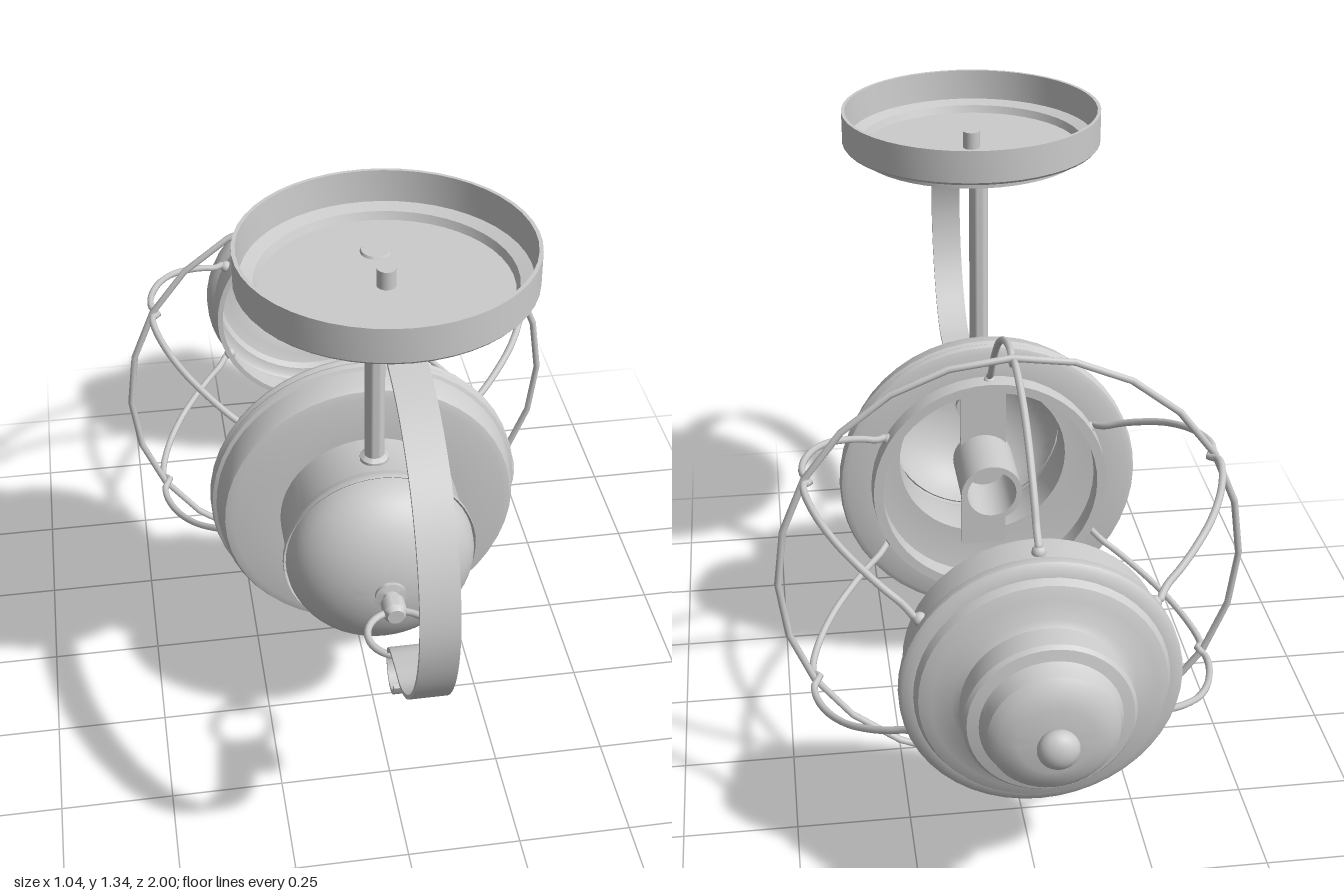
import * as THREE from 'three';
import { toCreasedNormals } from 'three/addons/utils/BufferGeometryUtils.js';

const AXIS_Y = 0.53;   // height of the lantern's axis
const RING_Z = -0.32;  // middle of the cage
const PAN_Z = 0.385;   // centre of the ceiling pan
const metal = new THREE.MeshStandardMaterial({ color: 0xcccccc, side: THREE.DoubleSide });

function add(parent, name, geometry, x = 0, y = 0, z = 0) {
  const mesh = new THREE.Mesh(geometry, metal);
  mesh.name = name;
  mesh.position.set(x, y, z);
  parent.add(mesh);
  return mesh;
}

// Turned part: pairs of radius and height
function turned(profile, segments = 48) {
  const points = profile.map(([r, h]) => new THREE.Vector2(r, h));
  return toCreasedNormals(new THREE.LatheGeometry(points, segments), 0.6);
}

// Turned part lying along the lantern's axis: pairs of radius and z
const turnedZ = (profile, segments) => turned(profile, segments).rotateX(Math.PI / 2);

// Flat band of given width and thickness following a curve in the z-y plane
function band(points, width, thickness, steps) {
  const curve = new THREE.CatmullRomCurve3(points.map(([z, y]) => new THREE.Vector3(0, y, z)));
  const positions = [], index = [];
  for (let i = 0; i <= steps; i++) {
    const p = curve.getPointAt(i / steps), t = curve.getTangentAt(i / steps);
    for (const [sx, sn] of [[-1, -1], [1, -1], [1, 1], [-1, 1]]) {
      const n = sn * thickness / 2;
      positions.push(sx * width / 2, p.y + t.z * n, p.z - t.y * n);
    }
    if (i === steps) break;
    for (let k = 0; k < 4; k++) {
      const a = i * 4 + k, b = i * 4 + (k + 1) % 4;
      index.push(a, b, b + 4, a, b + 4, a + 4);
    }
  }
  const e = steps * 4;
  index.push(0, 2, 1, 0, 3, 2, e, e + 1, e + 2, e, e + 2, e + 3);
  const g = new THREE.BufferGeometry();
  g.setAttribute('position', new THREE.Float32BufferAttribute(positions, 3));
  g.setIndex(index);
  return toCreasedNormals(g, 0.6);
}

export function createModel() {
  const model = new THREE.Group();
  model.name = 'cagedLantern';

  // Ceiling pan, open at the top
  add(model, 'ceilingPan', turned([
    [0, 1.247], [0.255, 1.247], [0.265, 1.25], [0.265, 1.262], [0.28, 1.268],
    [0.297, 1.27], [0.302, 1.276], [0.302, 1.35], [0.294, 1.35], [0.29, 1.28],
    [0.262, 1.272], [0.255, 1.255], [0, 1.255],
  ]), 0, 0, PAN_Z);
  add(model, 'panScrew', new THREE.CylinderGeometry(0.02, 0.02, 0.07, 16), 0, 1.26, PAN_Z);
  add(model, 'panKnob', new THREE.SphereGeometry(0.048, 24, 16).scale(1, 0.53, 1), 0, 1.206, PAN_Z);

  // Hanging rod with its collars
  add(model, 'hangingRod', turned([
    [0, 0.7], [0.032, 0.7], [0.032, 0.738], [0.022, 0.745], [0.022, 1.222],
    [0.038, 1.228], [0.038, 1.245], [0.03, 1.26], [0, 1.26],
  ], 24), 0, 0, 0.255);

  // Curved strap ending in a small hook
  add(model, 'hookStrap', band([
    [0.24, 1.236], [0.42, 1.236], [0.6, 1.233], [0.75, 1.2], [0.88, 1.12], [0.965, 1.0],
    [0.995, 0.87], [0.97, 0.745], [0.9, 0.64], [0.82, 0.587], [0.745, 0.577], [0.68, 0.562],
    [0.655, 0.523], [0.67, 0.487], [0.7, 0.474], [0.73, 0.488], [0.742, 0.516],
  ], 0.076, 0.009, 90));
  add(model, 'strapEnd', new THREE.CylinderGeometry(0.038, 0.038, 0.009, 24), 0, 1.236, 0.24);

  const lantern = new THREE.Group();
  lantern.name = 'lantern';
  lantern.position.y = AXIS_Y;
  model.add(lantern);

  // Front housing: dome, neck and wide flange, open toward the cage
  const dome = [];
  for (let i = 0; i <= 14; i++) {
    const a = (i / 14) * Math.PI / 2;
    dome.push([0.21 * Math.sin(a), 0.34 + 0.14 * Math.cos(a)]);
  }
  add(lantern, 'frontHousing', turnedZ([
    ...dome, [0.215, 0.345], [0.216, 0.335], [0.211, 0.32], [0.203, 0.3], [0.203, 0.187],
    [0.31, 0.187], [0.328, 0.182], [0.335, 0.17], [0.342, 0.122], [0.35, 0.118],
    [0.353, 0.107], [0.349, 0.098], [0.353, 0.088], [0.349, 0.078], [0.335, 0.072],
    [0.28, 0.07], [0.277, 0.03], [0.255, 0.03], [0.255, 0.08],
  ]));

  // Lamp socket on a cross strap inside the housing
  add(lantern, 'lampSocket', turnedZ([
    [0, 0.19], [0.072, 0.19], [0.072, 0.01], [0.058, 0.01], [0.058, 0.16], [0, 0.16],
  ], 32));
  add(lantern, 'socketStrap', new THREE.BoxGeometry(0.11, 0.46, 0.012), 0, 0, 0.178);

  // Stem and ring at the tip of the dome
  add(lantern, 'ringStem', turnedZ([
    [0, 0.46], [0.034, 0.46], [0.034, 0.486], [0.018, 0.49], [0.018, 0.503],
    [0.026, 0.506], [0.026, 0.54], [0.018, 0.552], [0, 0.552],
  ], 24));
  add(lantern, 'pullRing', new THREE.TorusGeometry(0.069, 0.008, 10, 32).rotateX(Math.PI / 2), 0, 0, 0.602);

  // Stepped rear cap, open toward the cage, with a finial
  add(lantern, 'rearCap', turnedZ([
    [0.255, -0.64], [0.268, -0.64], [0.27, -0.72], [0.28, -0.73], [0.286, -0.74],
    [0.286, -0.758], [0.278, -0.766], [0.258, -0.77], [0.25, -0.787], [0.225, -0.797],
    [0.185, -0.805], [0.172, -0.815], [0.172, -0.87], [0.165, -0.878], [0.142, -0.883],
    [0.135, -0.895], [0.13, -0.918], [0.11, -0.935], [0.075, -0.944], [0, -0.946],
  ]));
  add(lantern, 'finial', new THREE.SphereGeometry(0.042, 24, 16).scale(1, 1, 0.72), 0, 0, -0.969);

  // Cage ring and six bowed wires, each dipping under the ring
  add(lantern, 'cageRing', new THREE.TorusGeometry(0.511, 0.008, 8, 24), 0, 0, RING_Z);
  const half = [[0.375, 0.265], [0.385, 0.28], [0.37, 0.29], [0.345, 0.31], [0.32, 0.345],
    [0.28, 0.39], [0.22, 0.443], [0.14, 0.488], [0.06, 0.512], [0.022, 0.512]];
  const bow = [...half.map(([d, r]) => new THREE.Vector3(0, r, RING_Z + d)),
    new THREE.Vector3(0, 0.497, RING_Z),
    ...half.slice().reverse().map(([d, r]) => new THREE.Vector3(0, r, RING_Z - d))];
  const wire = new THREE.TubeGeometry(new THREE.CatmullRomCurve3(bow), 72, 0.008, 8);
  const rivet = new THREE.SphereGeometry(0.015, 12, 8);
  for (let i = 0; i < 6; i++) {
    const rib = new THREE.Group();
    rib.name = 'cageRib';
    rib.rotation.z = i * Math.PI / 3;
    add(rib, 'cageWire', wire);
    for (const s of [-1, 1]) add(rib, 'wireRivet', rivet, 0, 0.272, RING_Z + s * 0.378);
    lantern.add(rib);
  }
  return model;
}
